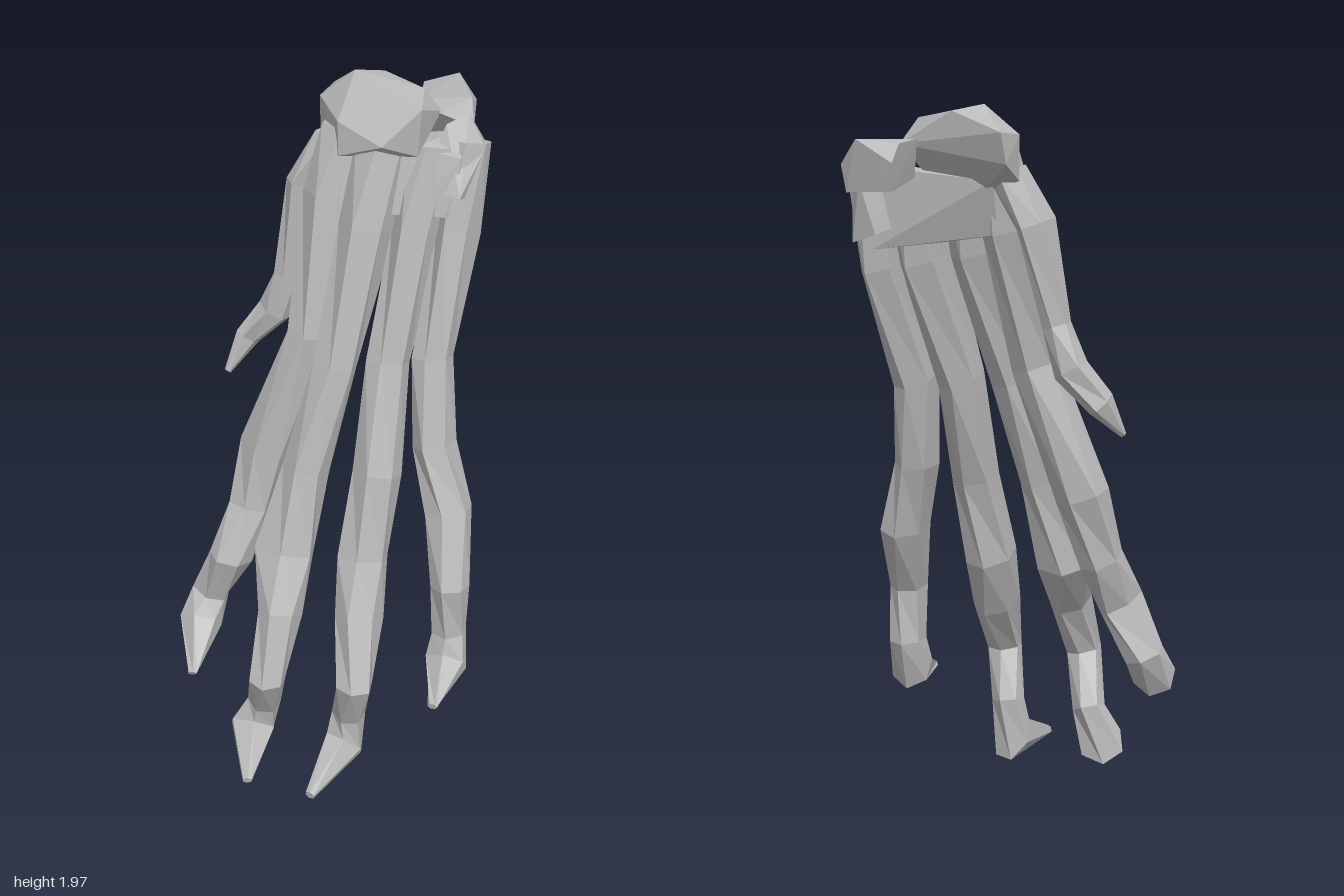
import * as THREE from 'three';
import { ConvexGeometry } from 'three/addons/geometries/ConvexGeometry.js';

const bone = new THREE.MeshStandardMaterial({ color: 0xb9b9b9, flatShading: true });
bone.name = 'bone grey';

// Faceted bone along a path; each station is [x, y, z, half width, half depth]
function loft(name, stations, sides = 6) {
  const centres = stations.map(s => new THREE.Vector3(s[0], s[1], s[2]));
  const pos = [], index = [], n = stations.length;
  stations.forEach((s, i) => {
    const t = centres[Math.min(i + 1, n - 1)].clone().sub(centres[Math.max(i - 1, 0)]).normalize();
    const side = new THREE.Vector3(1, 0, 0).addScaledVector(t, -t.x).normalize();
    const front = new THREE.Vector3().crossVectors(t, side);
    for (let k = 0; k < sides; k++) {
      const a = (k / sides) * Math.PI * 2 + (i % 2) * 0.3;
      const p = centres[i].clone()
        .addScaledVector(side, Math.cos(a) * s[3])
        .addScaledVector(front, Math.sin(a) * s[4]);
      pos.push(p.x, p.y, p.z);
    }
  });
  for (let i = 0; i < n - 1; i++) {
    for (let k = 0; k < sides; k++) {
      const a = i * sides + k, b = i * sides + (k + 1) % sides;
      index.push(a, b, a + sides, b, b + sides, a + sides);
    }
  }
  // End caps
  const last = (n - 1) * sides;
  for (let k = 1; k < sides - 1; k++) {
    index.push(0, k + 1, k, last, last + k, last + k + 1);
  }
  const g = new THREE.BufferGeometry();
  g.setAttribute('position', new THREE.Float32BufferAttribute(pos, 3));
  g.setIndex(index);
  g.computeVertexNormals();
  const mesh = new THREE.Mesh(g, bone);
  mesh.name = name;
  return mesh;
}

// Chunky wrist bone from its corner points
function block(name, points) {
  const mesh = new THREE.Mesh(new ConvexGeometry(points.map(p => new THREE.Vector3(...p))), bone);
  mesh.name = name;
  return mesh;
}

export function createModel() {
  const hand = new THREE.Group();
  hand.name = 'skeletalHand';

  // Fingers, each running from the wrist through the knuckles to a claw
  hand.add(loft('indexFinger', [
    [-0.15, 1.86, -0.12, 0.07, 0.07],
    [-0.16, 1.68, -0.07, 0.07, 0.09],
    [-0.15, 1.30, 0.04, 0.06, 0.075],
    [-0.25, 0.93, 0.13, 0.08, 0.075],
    [-0.27, 0.74, 0.19, 0.06, 0.07],
    [-0.27, 0.60, 0.28, 0.055, 0.08],
    [-0.345, 0.45, 0.30, 0.06, 0.06],
    [-0.335, 0.37, 0.36, 0.065, 0.065],
    [-0.255, 0.285, 0.485, 0.015, 0.012],
  ]));
  hand.add(loft('middleFinger', [
    [-0.04, 1.84, -0.13, 0.07, 0.07],
    [-0.035, 1.62, -0.07, 0.07, 0.09],
    [-0.035, 1.25, 0.07, 0.06, 0.07],
    [-0.06, 0.95, 0.17, 0.065, 0.07],
    [-0.08, 0.70, 0.25, 0.095, 0.09],
    [-0.02, 0.55, 0.34, 0.06, 0.07],
    [0.00, 0.37, 0.425, 0.05, 0.06],
    [-0.07, 0.21, 0.37, 0.05, 0.05],
    [-0.105, 0.10, 0.39, 0.075, 0.07],
    [0.015, 0.06, 0.545, 0.015, 0.012],
  ]));
  hand.add(loft('ringFinger', [
    [0.05, 1.82, -0.24, 0.06, 0.08],
    [0.055, 1.60, -0.18, 0.055, 0.10],
    [0.065, 1.25, -0.04, 0.05, 0.08],
    [0.11, 0.95, 0.06, 0.07, 0.07],
    [0.115, 0.70, 0.13, 0.07, 0.085],
    [0.16, 0.54, 0.20, 0.065, 0.08],
    [0.215, 0.37, 0.29, 0.055, 0.055],
    [0.16, 0.21, 0.25, 0.05, 0.05],
    [0.15, 0.085, 0.26, 0.06, 0.08],
    [0.19, 0.05, 0.465, 0.015, 0.015],
  ]));
  hand.add(loft('littleFinger', [
    [0.115, 1.82, -0.33, 0.045, 0.07],
    [0.125, 1.58, -0.27, 0.045, 0.09],
    [0.145, 1.25, -0.14, 0.045, 0.08],
    [0.19, 1.00, -0.10, 0.055, 0.075],
    [0.255, 0.80, -0.09, 0.06, 0.085],
    [0.32, 0.60, -0.02, 0.055, 0.06],
    [0.315, 0.43, -0.03, 0.05, 0.06],
    [0.33, 0.33, 0.00, 0.065, 0.07],
    [0.395, 0.295, 0.15, 0.015, 0.012],
  ]));
  hand.add(loft('thumb', [
    [-0.20, 1.82, -0.12, 0.04, 0.06],
    [-0.255, 1.69, -0.07, 0.04, 0.07],
    [-0.285, 1.42, -0.02, 0.035, 0.045],
    [-0.32, 1.30, 0.00, 0.05, 0.05],
    [-0.385, 1.21, 0.05, 0.03, 0.045],
    [-0.40, 1.12, 0.125, 0.01, 0.01],
  ]));

  // Wrist bones
  hand.add(block('frontWristBone', [
    [-0.29, 1.92, -0.24], [-0.29, 1.84, -0.22], [-0.25, 1.80, -0.13], [-0.25, 1.92, -0.13],
    [-0.16, 2.00, -0.17], [-0.13, 1.98, -0.26], [0.02, 1.97, -0.24], [0.04, 1.90, -0.29],
    [0.08, 1.95, -0.15], [0.07, 1.82, -0.15], [0.02, 1.86, -0.06], [-0.12, 1.90, -0.05],
    [-0.11, 1.81, -0.04], [-0.16, 1.77, -0.18], [-0.02, 1.78, -0.20],
  ]));
  hand.add(block('rearWristBone', [
    [-0.19, 1.84, -0.52], [-0.18, 1.77, -0.51], [-0.10, 1.90, -0.56], [-0.03, 1.84, -0.55],
    [-0.05, 1.77, -0.55], [-0.15, 1.89, -0.46], [0.06, 1.91, -0.40], [-0.04, 1.91, -0.30],
    [-0.03, 1.81, -0.30], [0.05, 1.90, -0.27], [0.12, 1.86, -0.33], [0.08, 1.78, -0.38],
  ]));
  hand.add(block('outerWristBone', [
    [0.11, 1.90, -0.32], [0.08, 1.88, -0.26], [0.08, 1.80, -0.40], [0.13, 1.80, -0.38],
    [0.16, 1.81, -0.33], [0.16, 1.70, -0.22], [0.12, 1.64, -0.39], [0.05, 1.66, -0.37],
    [0.05, 1.72, -0.18],
  ]));

  // Slanted palm joining the finger bases
  hand.add(block('palm', [
    [-0.20, 1.80, -0.18], [-0.18, 1.66, -0.14], [-0.10, 1.82, -0.06], [-0.10, 1.66, -0.02],
    [0.05, 1.84, -0.16], [0.06, 1.66, -0.12], [0.14, 1.80, -0.25], [0.14, 1.64, -0.22],
    [0.10, 1.62, -0.34], [0.08, 1.84, -0.34], [-0.05, 1.78, -0.25], [-0.05, 1.64, -0.22],
  ]));
  return hand;
}
